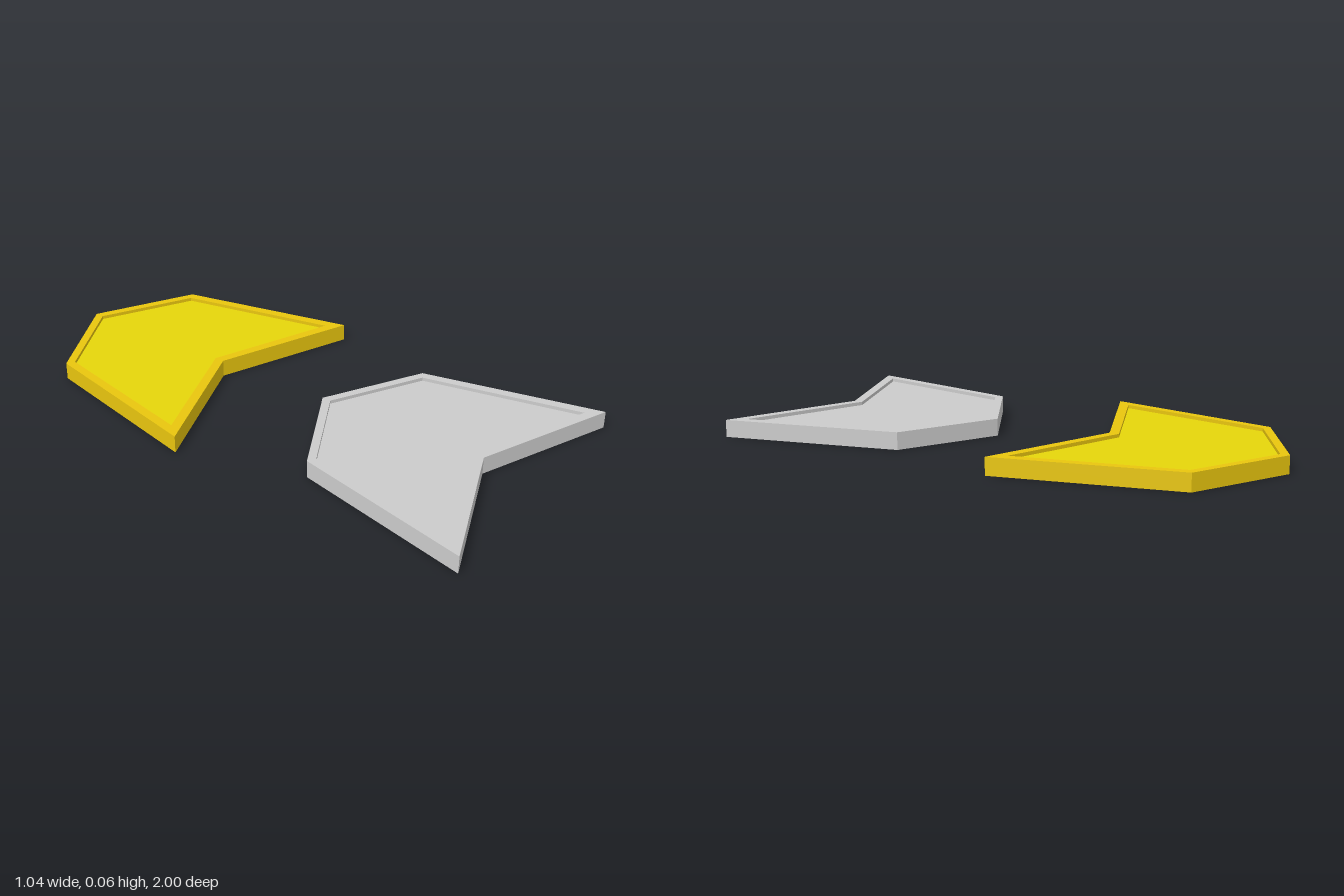
import * as THREE from 'three';

const HEIGHT = 0.065;
const RECESS = 0.013;

// Right halves of the chevron outlines as [x, z], from apex to notch
const OUTER = [[0, -0.435], [0.37, -0.238], [0.518, 0.435], [0, 0.23]];
const INNER = [[0, -0.401], [0.341, -0.22], [0.468, 0.376], [0, 0.193]];

// Mirrors a half outline into a counter-clockwise loop; shape y is -z
function loop(half) {
  const mirrored = half.slice(1, -1).reverse().map(([x, z]) => [-x, z]);
  return [...half, ...mirrored].map(([x, z]) => new THREE.Vector2(x, -z)).reverse();
}

// Extrudes a flat shape upward from the given height
function slab(shape, bottom, depth) {
  const geometry = new THREE.ExtrudeGeometry(shape, { depth, bevelEnabled: false });
  geometry.rotateX(-Math.PI / 2);
  geometry.translate(0, bottom, 0);
  return geometry;
}

function part(name, geometry, color) {
  const mesh = new THREE.Mesh(geometry, new THREE.MeshStandardMaterial({ color, flatShading: true }));
  mesh.name = name;
  return mesh;
}

// Chevron plate: raised rim around a panel recessed on both faces
function chevron(name, z, rimColor, panelColor) {
  const rimShape = new THREE.Shape(loop(OUTER));
  rimShape.holes.push(new THREE.Path(loop(INNER)));
  const panelShape = new THREE.Shape(loop(INNER));

  const group = new THREE.Group();
  group.name = name;
  group.add(
    part('rim', slab(rimShape, 0, HEIGHT), rimColor),
    part('panel', slab(panelShape, RECESS, HEIGHT - 2 * RECESS), panelColor)
  );
  group.position.z = z;
  return group;
}

export function createModel() {
  const model = new THREE.Group();
  model.name = 'chevronPlates';
  model.add(
    chevron('greyChevron', 0.565, 0xcccccc, 0xcccccc),
    chevron('yellowChevron', -0.565, 0xe9c60e, 0xe6d60a)
  );
  return model;
}
